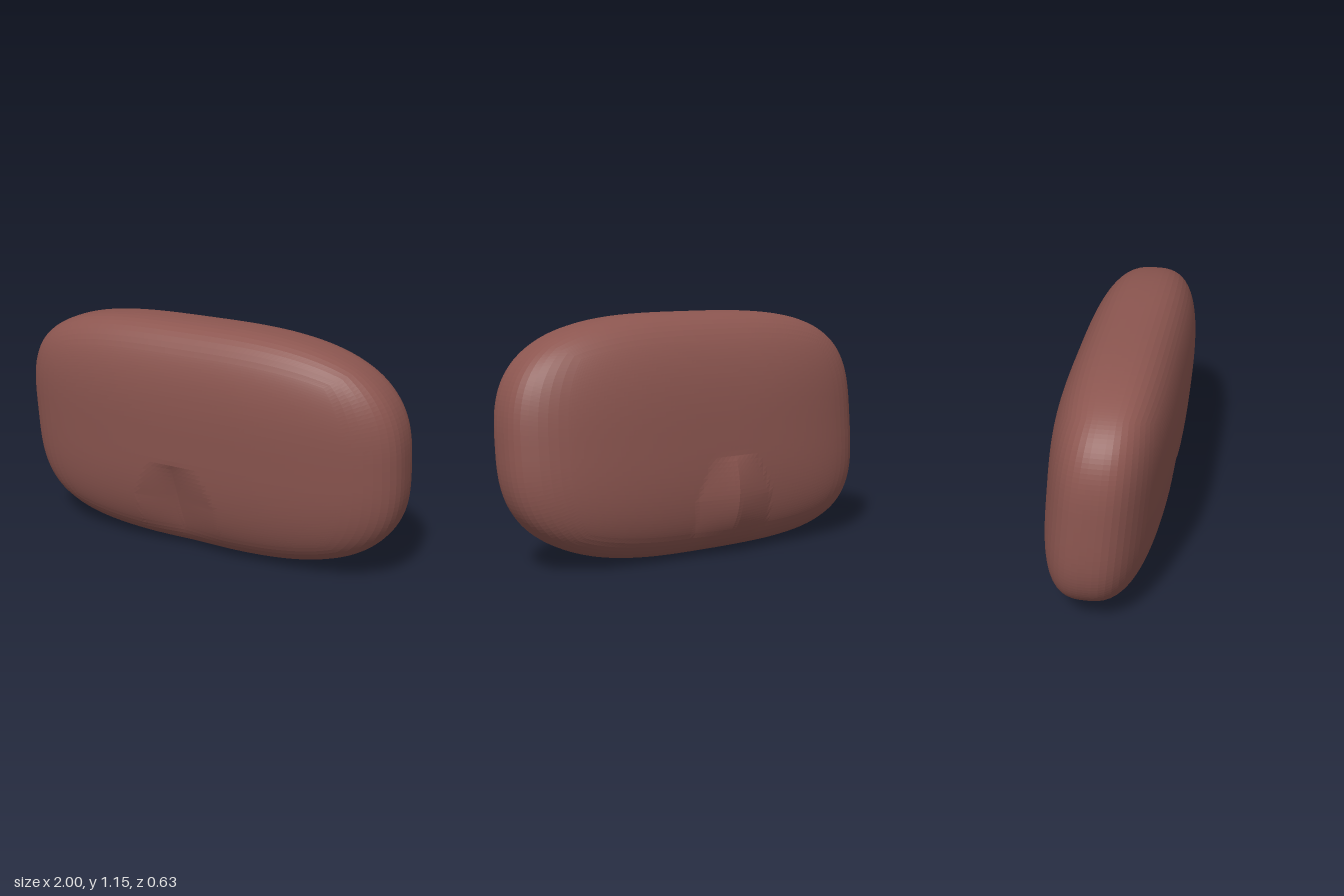
import * as THREE from 'three';

const HALF_HEIGHT = 0.574, HALF_DEPTH = 0.283;

// Rounded-block measure: equals 1 on the surface; the +x end is softer than the -x end.
function roundness(u, v, w) {
  const a = u > 0 ? 2.9 : 3.5, c = 2.8;
  const outline = Math.pow(Math.abs(u) ** a + Math.abs(v) ** a, c / a);
  return Math.pow(outline + Math.abs(w) ** c, 1 / c);
}

// Arched fold low in the middle: hollow at the front, creased ridge at the back.
function fold(x, y) {
  const t = (0.48 - y) / 0.48;
  if (t <= 0 || t >= 1) return 0;
  const halfWidth = 0.13 + 0.09 * Math.min(1, t * 2.5);
  const tent = Math.max(0, 1 - Math.abs(x + 0.08) / halfWidth);
  return 0.04 * tent * Math.pow(Math.sin(Math.PI * t), 0.8);
}

export function createModel() {
  const group = new THREE.Group();
  const geometry = new THREE.BoxGeometry(2, 2, 2, 72, 48, 18);

  // Pull the block onto the cushion shape, lean it forward, then press in the fold.
  const p = geometry.attributes.position;
  for (let i = 0; i < p.count; i++) {
    const u = p.getX(i), v = p.getY(i), w = p.getZ(i);
    const k = 1 / roundness(u, v, w);
    const x = u * k, y = HALF_HEIGHT * (1 + v * k);
    const lean = 0.018 + 0.09 * (y - HALF_HEIGHT);
    const side = Math.min(1, Math.abs(w * k) * 2);
    p.setXYZ(i, x, y, w * k * HALF_DEPTH + lean - side * fold(x, y));
  }
  geometry.computeVertexNormals();

  const material = new THREE.MeshStandardMaterial({ color: 0x8c5650, flatShading: true });
  const cushion = new THREE.Mesh(geometry, material);
  cushion.name = 'cushion';
  group.add(cushion);
  return group;
}
